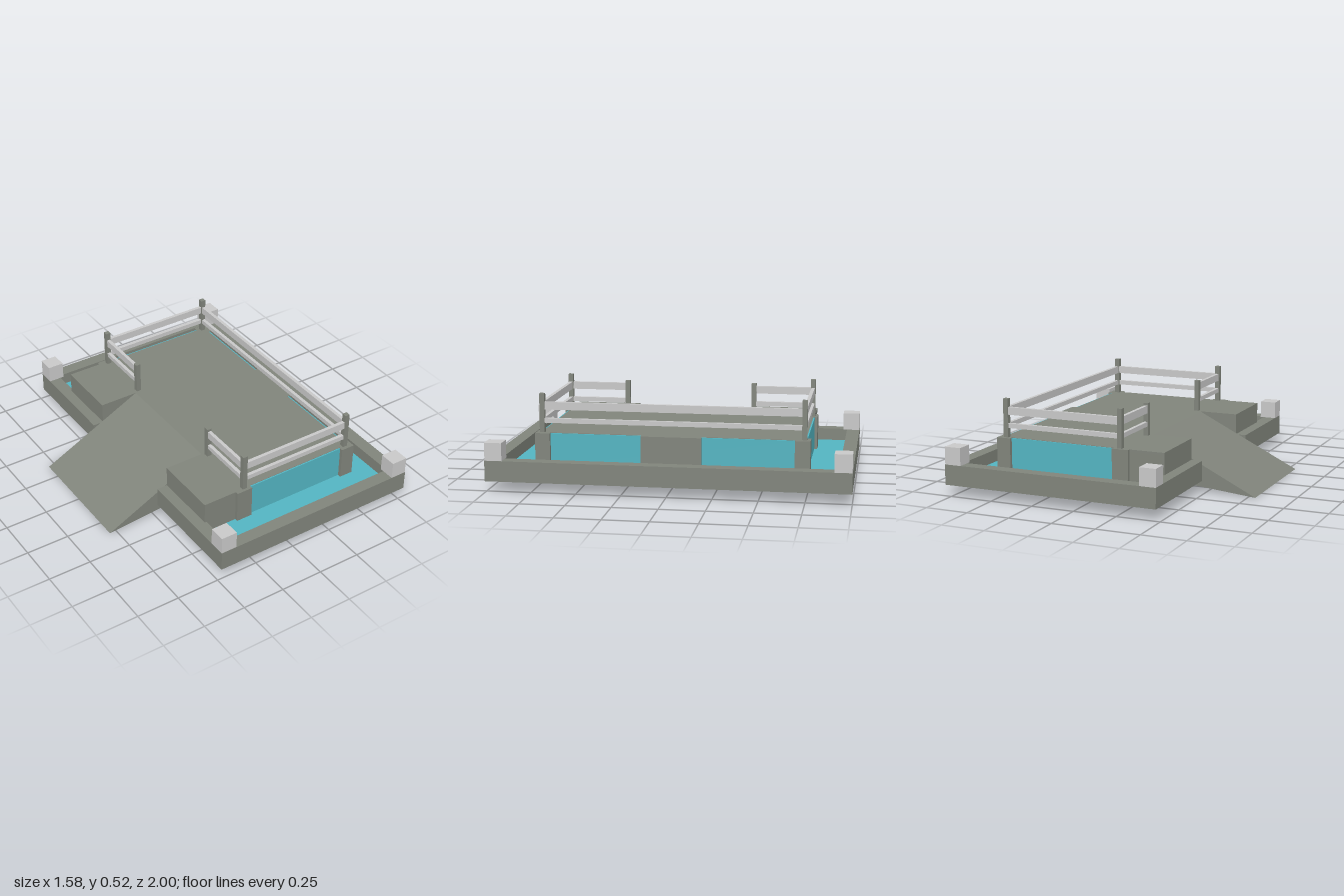
import * as THREE from 'three';

const stone = new THREE.MeshStandardMaterial({ color: 0x80847b });
stone.name = 'stone grey';
const pale = new THREE.MeshStandardMaterial({ color: 0xc8c8c8 });
pale.name = 'pale grey';
const teal = new THREE.MeshStandardMaterial({ color: 0x53b4c1, side: THREE.DoubleSide });
teal.name = 'water teal';

// Box given by its limits on each axis
function block(parent, name, material, [x0, x1], [y0, y1], [z0, z1]) {
  const mesh = new THREE.Mesh(new THREE.BoxGeometry(x1 - x0, y1 - y0, Math.abs(z1 - z0)), material);
  mesh.position.set((x0 + x1) / 2, (y0 + y1) / 2, (z0 + z1) / 2);
  mesh.name = name;
  parent.add(mesh);
}

function rectangle(Type, x0, x1, z0, z1) {
  return new Type([[x0, z0], [x1, z0], [x1, z1], [x0, z1]].map(([x, z]) => new THREE.Vector2(x, z)));
}

export function createModel() {
  const model = new THREE.Group();
  model.name = 'poolPlatform';
  const add = (...args) => block(model, ...args);

  const waterY = 0.11, deckY = 0.302;
  const rim = [0.065, 0.18];
  const wall = [waterY, deckY];

  // Water sheet, open beneath the platform
  const sheet = rectangle(THREE.Shape, -0.4, 0.71, -0.925, 0.925);
  sheet.holes.push(rectangle(THREE.Path, -0.18, 0.56, -0.735, 0.735));
  const water = new THREE.Mesh(new THREE.ShapeGeometry(sheet), teal);
  water.rotation.x = -Math.PI / 2;
  water.position.y = waterY;
  water.name = 'water';
  model.add(water);

  // Entrance ramp
  const profile = new THREE.Shape([[-0.79, 0.002], [-0.18, 0.06], [-0.18, deckY]].map(([x, y]) => new THREE.Vector2(x, y)));
  const ramp = new THREE.Mesh(new THREE.ExtrudeGeometry(profile, { depth: 0.714, bevelEnabled: false }), stone);
  ramp.position.z = -0.357;
  ramp.name = 'ramp';
  model.add(ramp);

  // Basin rim and deck on the long axis
  add('leftRim', stone, [0.71, 0.785], rim, [-1, 1]);
  add('deck', stone, [-0.18, 0.562], [0.29, deckY], [-0.736, 0.736]);
  add('sidePanel', teal, [0.562, 0.57], [waterY, 0.3], [-0.736, 0.736]);
  add('centrePillar', stone, [0.555, 0.593], wall, [-0.168, 0.168]);

  // Parts mirrored front to back
  for (const s of [-1, 1]) {
    const span = (a, b) => [s * a, s * b];
    add('endRim', stone, [-0.4, 0.71], rim, span(0.925, 1));
    add('rightRim', stone, [-0.475, -0.4], rim, span(0.357, 1));
    add('cornerBlock', pale, [-0.475, -0.38], [0.18, 0.28], span(0.903, 0.999));
    add('cornerBlock', pale, [0.687, 0.783], [0.18, 0.28], span(0.903, 0.999));

    // Hollow side landings beside the ramp
    add('landingTop', stone, [-0.412, -0.18], [0.29, deckY], span(0.357, 0.741));
    add('landingRightWall', stone, [-0.412, -0.402], [waterY, 0.29], span(0.357, 0.741));
    add('landingInnerWall', stone, [-0.402, -0.18], [waterY, 0.29], span(0.357, 0.367));
    add('landingOuterWall', stone, [-0.402, -0.18], [waterY, 0.29], span(0.731, 0.741));

    // Glazed end and pillars
    add('endPanel', teal, [-0.18, 0.57], [waterY, 0.3], span(0.736, 0.744));
    add('endPillar', stone, [-0.21, -0.113], wall, span(0.73, 0.76));
    add('cornerPillar', stone, [0.508, 0.59], wall, span(0.73, 0.764));
    add('cornerPillar', stone, [0.555, 0.59], wall, span(0.68, 0.73));

    // Fence posts
    add('tallPost', stone, [-0.165, -0.137], [0.28, 0.52], span(0.716, 0.744));
    add('tallPost', stone, [0.53, 0.558], [0.28, 0.52], span(0.716, 0.744));
    add('shortPost', stone, [-0.165, -0.137], [0.28, 0.488], span(0.366, 0.394));
  }

  // Fence rails, a wide one above a narrow one
  for (const y of [[0.43, 0.473], [0.355, 0.381]]) {
    add('sideRail', pale, [0.534, 0.554], y, [-0.718, 0.718]);
    for (const s of [-1, 1]) {
      add('endRail', pale, [-0.139, 0.532], y, [s * 0.72, s * 0.74]);
      add('entranceRail', pale, [-0.161, -0.141], y, [s * 0.392, s * 0.718]);
    }
  }

  return model;
}
